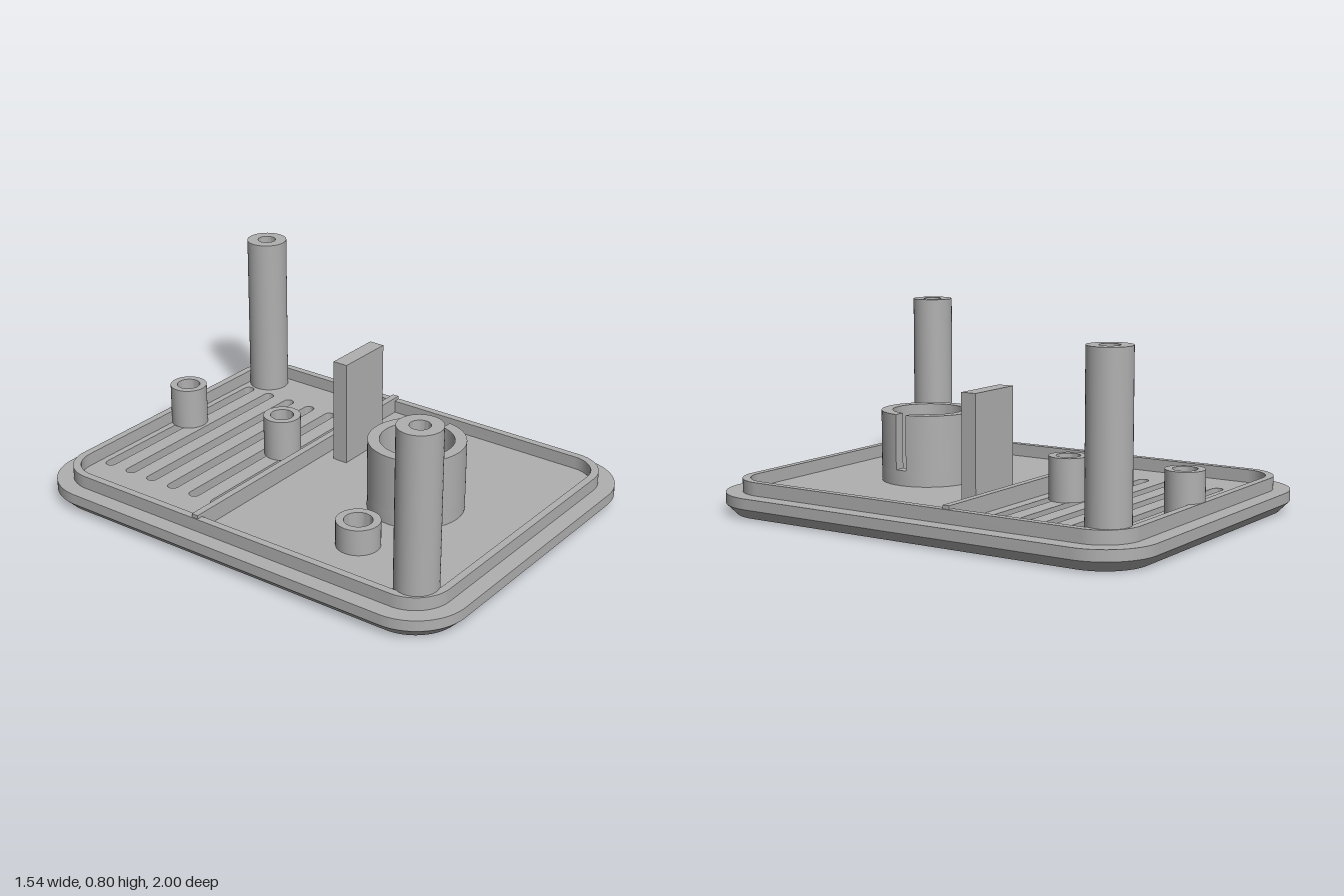
import * as THREE from 'three';
import { toCreasedNormals } from 'three/addons/utils/BufferGeometryUtils.js';

const FLOOR = 0.09;
const CREASE = Math.PI / 6;

export function createModel() {
  const model = new THREE.Group();
  model.name = 'enclosureCover';
  const grey = new THREE.MeshStandardMaterial({ color: 0xb0b0b0 });
  grey.name = 'grey plastic';

  const add = (name, geometry) => {
    const mesh = new THREE.Mesh(geometry, grey);
    mesh.name = name;
    model.add(mesh);
    return mesh;
  };

  // Rounded rectangle, centred at (cx, cy), half sizes w and h
  const rounded = (Type, w, h, r, cx = 0, cy = 0) => {
    const s = new Type();
    s.absarc(cx + w - r, cy + h - r, r, 0, Math.PI / 2);
    s.absarc(cx - w + r, cy + h - r, r, Math.PI / 2, Math.PI);
    s.absarc(cx - w + r, cy - h + r, r, Math.PI, Math.PI * 1.5);
    s.absarc(cx + w - r, cy - h + r, r, Math.PI * 1.5, Math.PI * 2);
    s.closePath();
    return s;
  };
  const circle = (x, y, r) => new THREE.Path().absarc(x, y, r, 0, Math.PI * 2, true);

  // Upright extrusion: shape y becomes -z
  const extrude = (shape, y0, y1, steps = 1, curveSegments = 16) =>
    new THREE.ExtrudeGeometry(shape, { depth: y1 - y0, steps, curveSegments, bevelEnabled: false })
      .rotateX(-Math.PI / 2).translate(0, y0, 0);

  // Base plate with vent slots, a large bore and a small bore
  const bores = [
    { x: 0, z: 0.41, r: 0.165, rBottom: 0.235 },
    { x: -0.4, z: 0.41, r: 0.045, rBottom: 0.058 },
  ];
  const outline = rounded(THREE.Shape, 0.77, 1, 0.23);
  for (let i = 0; i < 6; i++) {
    outline.holes.push(rounded(THREE.Path, 0.4875, 0.024, 0.0235, 0, 0.846 - i * 0.117));
  }
  for (const b of bores) outline.holes.push(circle(b.x, -b.z, b.r));
  const plate = extrude(outline, 0, FLOOR, 2, 24);

  // Chamfer the underside: draw the rim inwards and flare the bores
  const pos = plate.attributes.position;
  for (let i = 0; i < pos.count; i++) {
    if (pos.getY(i) > 0.01) continue;
    const x = pos.getX(i), z = pos.getZ(i);
    const coreX = THREE.MathUtils.clamp(x, -0.54, 0.54);
    const coreZ = THREE.MathUtils.clamp(z, -0.77, 0.77);
    const d = Math.hypot(x - coreX, z - coreZ);
    if (d > 0.22) {
      const k = 0.185 / d;
      pos.setXYZ(i, coreX + (x - coreX) * k, 0, coreZ + (z - coreZ) * k);
    }
    for (const b of bores) {
      if (Math.hypot(x - b.x, z - b.z) > b.r + 0.002) continue;
      const k = b.rBottom / b.r;
      pos.setXYZ(i, b.x + (x - b.x) * k, 0, b.z + (z - b.z) * k);
    }
  }
  add('basePlate', toCreasedNormals(plate, CREASE));

  // Raised lip around the floor
  const lip = rounded(THREE.Shape, 0.7, 0.93, 0.16);
  lip.holes.push(rounded(THREE.Path, 0.668, 0.898, 0.13));
  add('lip', toCreasedNormals(extrude(lip, FLOOR, 0.145), CREASE));

  // Divider rib and upright tab
  const box = (name, w, y1, d, x, z) =>
    add(name, new THREE.BoxGeometry(w, y1 - FLOOR, d)).position.set(x, (y1 + FLOOR) / 2, z);
  box('dividerRib', 1.39, 0.16, 0.03, 0, -0.175);
  box('uprightTab', 0.265, 0.545, 0.068, 0.265, -0.073);

  // Round posts with a blind or a through hole
  const post = (name, x, z, R, r, top, holeFloor) => {
    const profile = holeFloor === undefined
      ? [[r, FLOOR], [R, FLOOR], [R, top], [r, top], [r, FLOOR]]
      : [[0, FLOOR], [R, FLOOR], [R, top], [r, top], [r, holeFloor], [0, holeFloor]];
    const points = profile.map(([px, py]) => new THREE.Vector2(px, py));
    const geometry = toCreasedNormals(new THREE.LatheGeometry(points, 40), CREASE);
    add(name, geometry).position.set(x, 0, z);
  };
  post('frontPost', -0.588, 0.813, 0.088, 0.04, 0.8, 0.4);
  post('backPost', 0.585, -0.82, 0.088, 0.04, 0.8, 0.4);
  post('backVentBoss', 0.05, -0.848, 0.08, 0.05, 0.27, 0.11);
  post('frontVentBoss', 0.05, -0.32, 0.08, 0.05, 0.27, 0.11);
  post('smallBoss', -0.4, 0.41, 0.09, 0.058, 0.2);

  // Large collar: full ring below, notched on the +x side above
  post('collarBase', 0, 0.41, 0.2, 0.152, 0.155);
  const aOut = Math.asin(0.025 / 0.2), aIn = Math.asin(0.025 / 0.152);
  const notched = new THREE.Shape();
  notched.absarc(0, 0, 0.2, aOut, Math.PI * 2 - aOut, false);
  notched.absarc(0, 0, 0.152, Math.PI * 2 - aIn, aIn, true);
  notched.closePath();
  add('notchedCollar', toCreasedNormals(extrude(notched, 0.155, 0.39, 1, 48), CREASE)).position.z = 0.41;

  return model;
}
